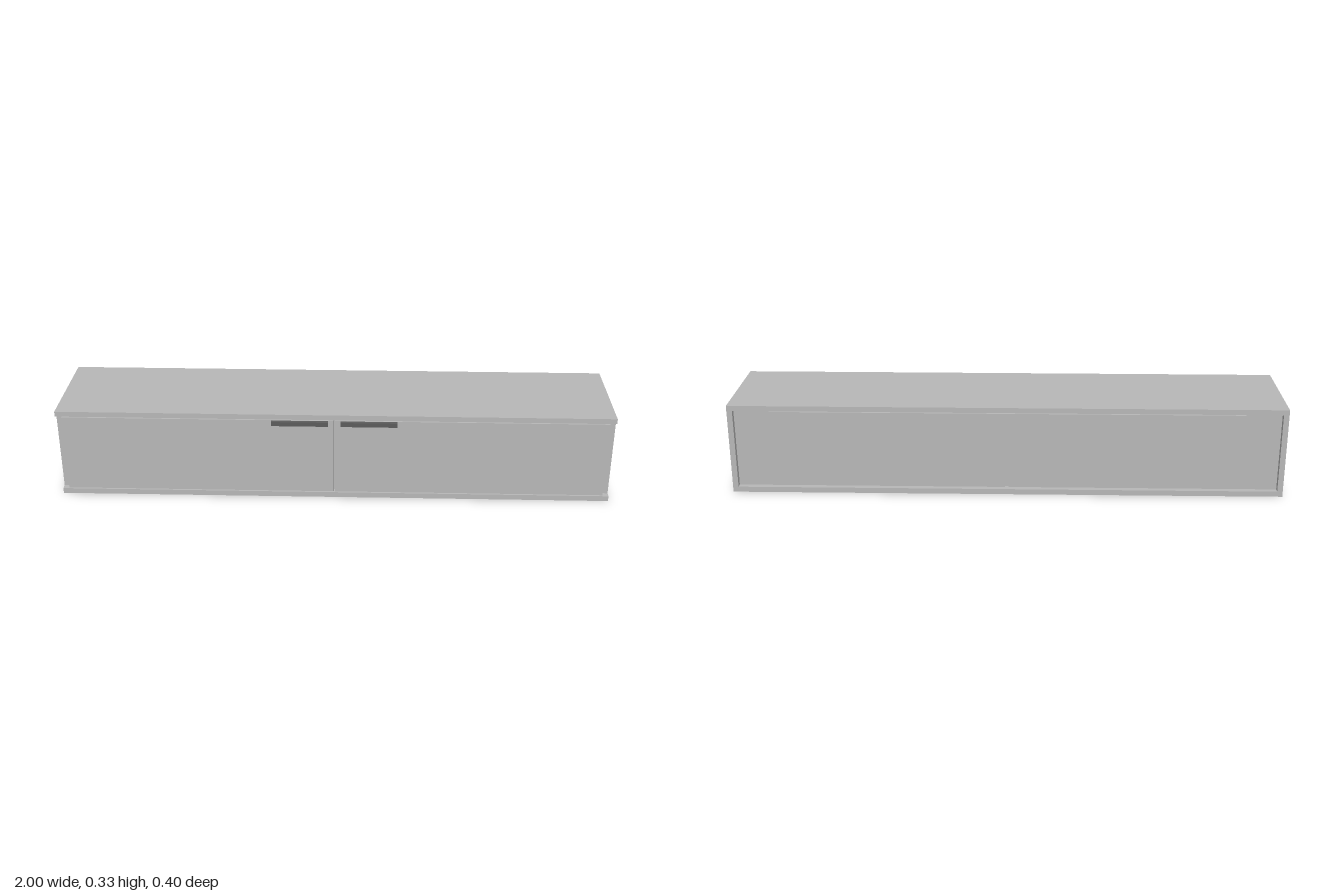
import * as THREE from 'three';

export function createModel() {
  const group = new THREE.Group();
  const body = new THREE.MeshStandardMaterial({ color: 0xb8b8b8 });
  body.name = 'light grey';
  const dark = new THREE.MeshStandardMaterial({ color: 0x5c5c5c });
  dark.name = 'dark grey';

  // Box given by its minimum and maximum corner
  function panel(name, x0, x1, y0, y1, z0, z1, material = body) {
    const mesh = new THREE.Mesh(new THREE.BoxGeometry(x1 - x0, y1 - y0, z1 - z0), material);
    mesh.position.set((x0 + x1) / 2, (y0 + y1) / 2, (z0 + z1) / 2);
    mesh.name = name;
    group.add(mesh);
  }
  // The same box on both sides of x = 0
  function pair(name, x0, x1, ...rest) {
    panel(name + 'Left', x0, x1, ...rest);
    panel(name + 'Right', -x1, -x0, ...rest);
  }

  // Carcass: top and bottom overhang the sides at the front
  panel('topPanel', -1, 1, 0.315, 0.334, -0.202, 0.189);
  panel('bottomPanel', -1, 1, 0, 0.02, -0.202, 0.189);
  pair('sidePanel', 0.98, 1, 0.02, 0.315, -0.202, 0.167);
  panel('divider', -0.01, 0.01, 0.02, 0.315, -0.172, 0.167);

  // Recessed back in two halves, with a mounting rail across it
  pair('backPanel', 0.006, 0.98, 0.02, 0.315, -0.182, -0.172);
  panel('mountingRail', -0.85, 0.85, 0.257, 0.31, -0.196, -0.182);

  // Doors with small gaps all round, and their pulls
  pair('door', 0.002, 0.977, 0.024, 0.312, 0.169, 0.189);
  pair('handle', 0.022, 0.225, 0.295, 0.311, 0.189, 0.202, dark);

  return group;
}
